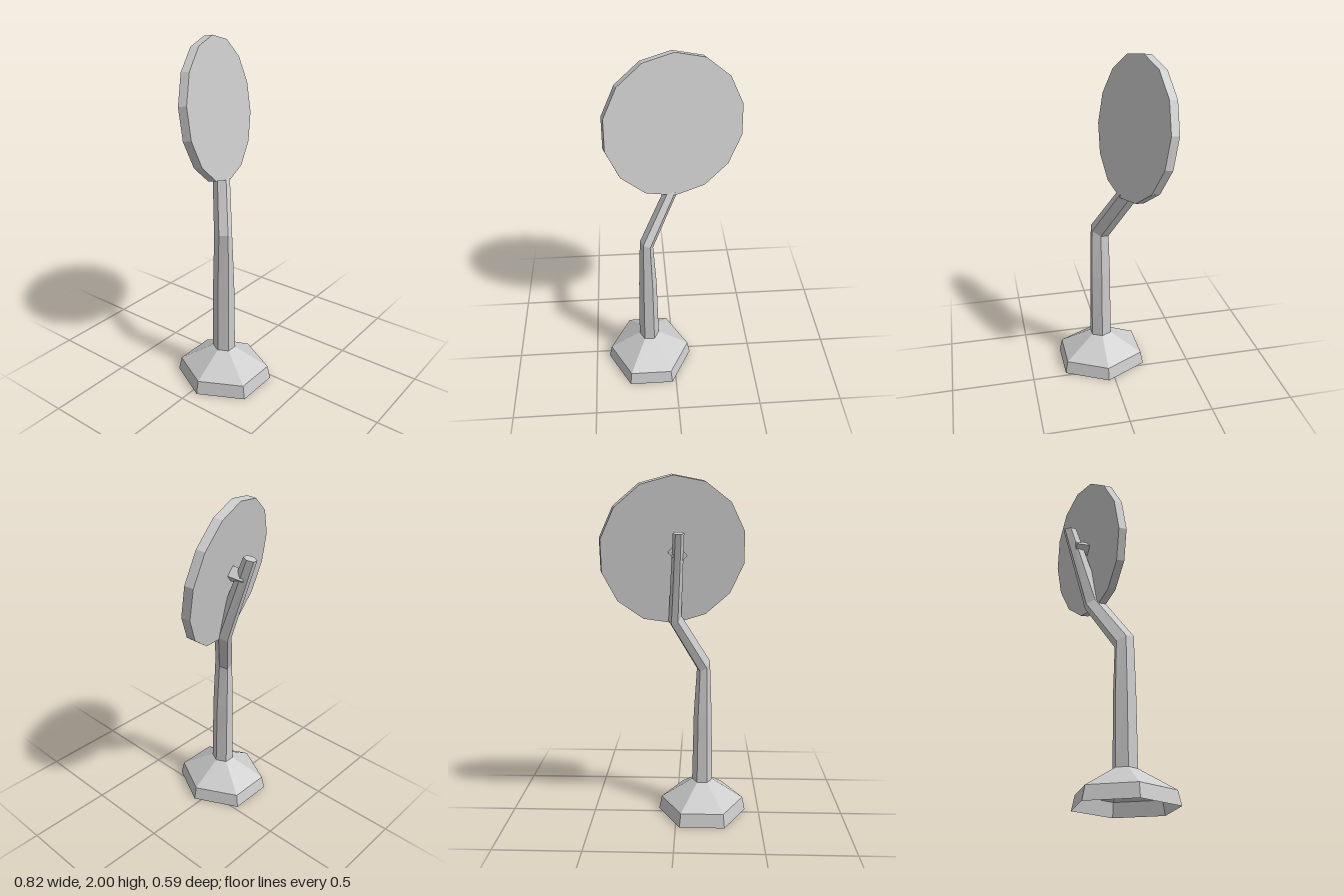
import * as THREE from 'three';

const material = new THREE.MeshStandardMaterial({
  color: 0xcccccc, flatShading: true, side: THREE.DoubleSide,
});

// Six-sided loft. Ring: centre, radii, and slope of its plane along x and z.
function hexLoft(name, rings, capTop = false) {
  const n = 6, positions = [], index = [];
  for (const { c, rx, rz, sx = 0, sz = 0 } of rings) {
    for (let k = 0; k < n; k++) {
      const a = (k / n) * Math.PI * 2;
      const dx = rx * Math.cos(a), dz = rz * Math.sin(a);
      positions.push(c[0] + dx, c[1] + sx * dx + sz * dz, c[2] + dz);
    }
  }
  for (let i = 0; i < rings.length - 1; i++) {
    for (let k = 0; k < n; k++) {
      const a = i * n + k, b = i * n + (k + 1) % n;
      index.push(a, a + n, b, b, a + n, b + n);
    }
  }
  if (capTop) {
    const s = (rings.length - 1) * n;
    for (let k = 1; k < n - 1; k++) index.push(s, s + k + 1, s + k);
  }
  const geometry = new THREE.BufferGeometry();
  geometry.setAttribute('position', new THREE.Float32BufferAttribute(positions, 3));
  geometry.setIndex(index);
  geometry.computeVertexNormals();
  const mesh = new THREE.Mesh(geometry, material);
  mesh.name = name;
  return mesh;
}

export function createModel() {
  const group = new THREE.Group();
  group.name = 'dishOnStand';
  const X = -0.155, Z = 0.04;

  // Hollow flared foot, open underneath
  const neck = { c: [X, 0.2, Z], rx: 0.061, rz: 0.069 };
  group.add(hexLoft('foot', [
    { c: [X, 0, Z], rx: 0.263, rz: 0.292 },
    { c: [X, 0.08, Z], rx: 0.247, rz: 0.274 },
    neck,
  ]));

  // Tapering post that bends twice and ends behind the disc
  group.add(hexLoft('bentPost', [
    neck,
    { c: [X, 0.62, Z], rx: 0.053, rz: 0.066 },
    { c: [X - 0.002, 0.92, Z], rx: 0.038, rz: 0.058, sx: -0.6, sz: 0.4 },
    { c: [0.005, 1.22, -0.1], rx: 0.036, rz: 0.056, sx: -0.4, sz: 0.4 },
    { c: [-0.02, 1.7, -0.26], rx: 0.03, rz: 0.04, sz: 0.15 },
  ], true));

  // Tilted head: local y is the disc's facing direction
  const head = new THREE.Group();
  head.name = 'head';
  const facing = new THREE.Vector3(0.25, 0.15, 1).normalize();
  const across = new THREE.Vector3(1, 0, -0.25).normalize();
  const down = new THREE.Vector3().crossVectors(across, facing);
  head.setRotationFromMatrix(new THREE.Matrix4().makeBasis(across, facing, down));
  head.position.set(0.019, 1.6, -0.105);

  const thickness = 0.05;
  const discGeometry = new THREE.CylinderGeometry(0.406, 0.406, thickness, 14);
  discGeometry.rotateY(-0.04);
  const disc = new THREE.Mesh(discGeometry, material);
  disc.name = 'disc';
  disc.position.y = -thickness / 2;
  head.add(disc);

  // Short square bracket from the disc to the post
  const bracket = new THREE.Mesh(new THREE.CylinderGeometry(0.045, 0.045, 0.09, 4), material);
  bracket.name = 'bracket';
  bracket.position.set(-0.01, -0.09, 0);
  head.add(bracket);

  group.add(head);
  return group;
}
